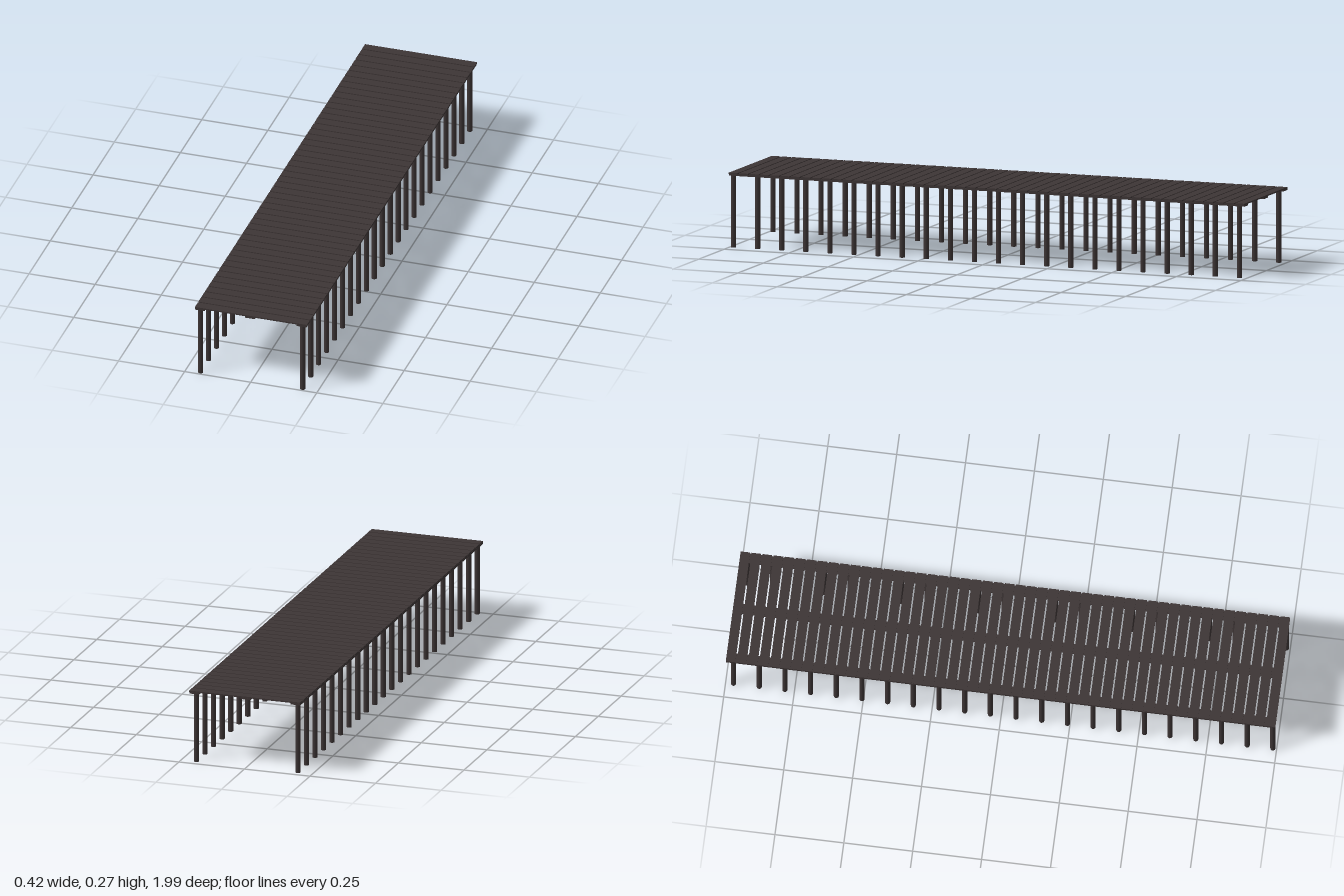
import * as THREE from 'three';

export function createModel() {
  const group = new THREE.Group();
  const wood = new THREE.MeshStandardMaterial({ color: 0x3d3535 });

  const add = (name, geometry, x, y, z) => {
    const mesh = new THREE.Mesh(geometry, wood);
    mesh.name = name;
    mesh.position.set(x, y, z);
    group.add(mesh);
  };

  // Deck planks laid across the pier with narrow gaps
  const plankCount = 50;
  const pitch = 0.04;
  const plank = new THREE.BoxGeometry(0.424, 0.005, 0.0345);
  for (let i = 0; i < plankCount; i++) {
    add('plank', plank, 0, 0.2712, (i - (plankCount - 1) / 2) * pitch);
  }

  // Flat beams running the full length under the planks
  const beam = new THREE.BoxGeometry(0.037, 0.0057, 1.994);
  for (const x of [-0.1935, -0.0035, 0.1915]) add('beam', beam, x, 0.2655, 0);

  // Two rows of round posts
  const postCount = 22;
  const postHeight = 0.263;
  const post = new THREE.CylinderGeometry(0.0095, 0.0095, postHeight, 12);
  for (let i = 0; i < postCount; i++) {
    const z = 0.986 - i * 0.0932;
    for (const x of [-0.194, 0.1925]) add('post', post, x, postHeight / 2, z);
  }

  return group;
}
